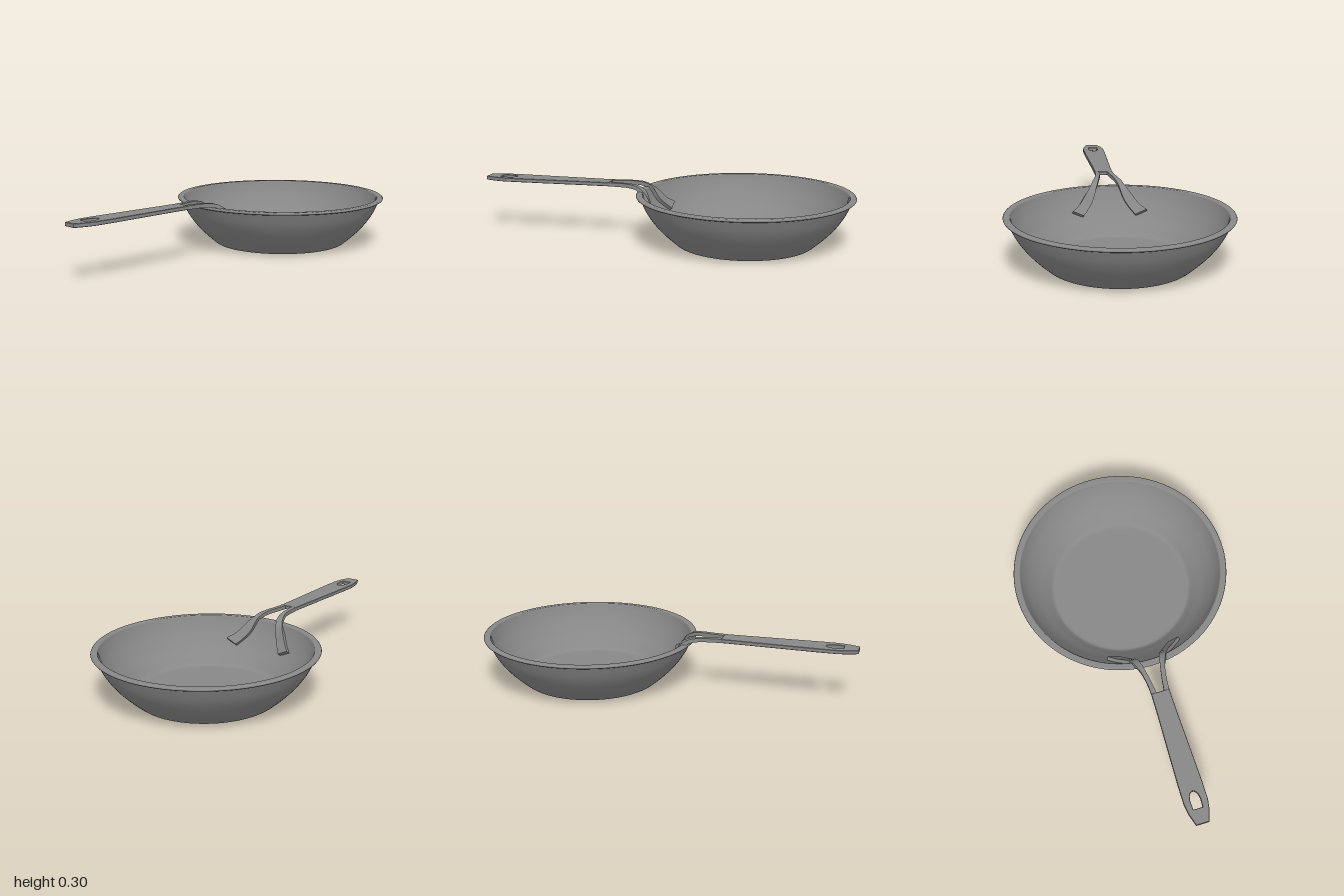
import * as THREE from 'three';
import { toCreasedNormals } from 'three/addons/utils/BufferGeometryUtils.js';

const material = new THREE.MeshStandardMaterial({ color: 0x888888 });
const BOWL_Z = -0.43;
const INNER = [[0.534, 0.255], [0.525, 0.229], [0.503, 0.182], [0.46, 0.118], [0.415, 0.067], [0.388, 0.037], [0.374, 0.027], [0.355, 0.025]];

// Revolved band; a smooth one is resampled along a spline
function band(name, points, smooth = false) {
  let pts = points.map(([r, y]) => new THREE.Vector2(r, y));
  if (smooth) pts = new THREE.SplineCurve(pts).getPoints(32);
  return part(name, new THREE.LatheGeometry(pts, 96));
}

function part(name, geometry) {
  const mesh = new THREE.Mesh(geometry, material);
  mesh.name = name;
  return mesh;
}

function bowl() {
  const group = new THREE.Group();
  group.name = 'bowl';
  group.position.z = BOWL_Z;
  group.add(
    band('underside', [[0, 0], [0.345, 0]]),
    band('outerWall', [[0.345, 0], [0.366, 0.01], [0.428, 0.065], [0.477, 0.118], [0.518, 0.178], [0.55, 0.248]], true),
    band('rim', [[0.55, 0.248], [0.564, 0.248], [0.568, 0.251], [0.57, 0.255], [0.568, 0.259], [0.564, 0.262],
      [0.561, 0.262], [0.543, 0.262], [0.539, 0.262], [0.536, 0.26], [0.534, 0.255]]),
    band('innerWall', INNER, true),
    band('cookingSurface', [[0.355, 0.025], [0, 0.025]])
  );
  return group;
}

// Flat grip with a hanging hole
function grip() {
  const half = [[0.046, 0.3], [0.048, 0.42], [0.054, 0.62], [0.059, 0.8], [0.059, 0.89], [0.051, 0.94], [0.032, 0.998]];
  const outline = [...half, ...half.map(([x, z]) => [-x, z]).reverse()];
  const shape = new THREE.Shape(outline.map(([x, z]) => new THREE.Vector2(x, z)));
  const hole = new THREE.Path();
  hole.moveTo(-0.026, 0.925);
  hole.lineTo(0.026, 0.925);
  hole.lineTo(0.028, 0.88);
  hole.bezierCurveTo(0.024, 0.816, -0.024, 0.816, -0.028, 0.88);
  shape.holes.push(hole);
  const geo = new THREE.ExtrudeGeometry(shape, {
    depth: 0.016, bevelThickness: 0.002, bevelSize: 0.002, bevelSegments: 1, curveSegments: 12
  });
  geo.rotateX(Math.PI / 2).translate(0, 0.293, 0);
  return part('grip', geo);
}

// Height of the inner wall at a radius
function wallHeight(r) {
  for (let i = 1; i < INNER.length; i++) {
    const [r0, y0] = INNER[i - 1], [r1, y1] = INNER[i];
    if (r >= r1) return y1 + (y0 - y1) * (Math.min(r, r0) - r1) / (r0 - r1);
  }
  return 0.025;
}

// Fork arm: inner edge x, z, outer edge x, z, underside height (null = lies on the wall), lean of the section
const ARM = [
  [0.02, 0.299, 0.048, 0.299, 0.275, 0],
  [0.026, 0.25, 0.051, 0.25, 0.275, 0],
  [0.039, 0.175, 0.063, 0.18, 0.274, 0.1],
  [0.05, 0.128, 0.08, 0.135, 0.266, 0.3],
  [0.061, 0.1, 0.095, 0.108, 0.25, 0.55],
  [0.085, 0.071, 0.122, 0.08, null, 0.8],
  [0.112, 0.041, 0.161, 0.044, null, 0.8],
  [0.142, 0.01, 0.202, 0.006, null, 0.76]
];

function arm(side) {
  const corner = ([xi, zi, xo, zo, y, lean], outer, top) => {
    const x = outer ? xo : xi, z = outer ? zo : zi;
    const r = Math.hypot(x, z - BOWL_Z);
    const p = new THREE.Vector3(x, y ?? wallHeight(r) - 0.003, z);
    if (top) {
      p.addScaledVector(
        new THREE.Vector3(-lean * x / r, Math.sqrt(1 - lean * lean), -lean * (z - BOWL_Z) / r), 0.02);
    }
    p.x *= side;
    return p;
  };
  const steps = 32;
  const rails = [[0, 0], [1, 0], [1, 1], [0, 1]].map(([outer, top]) =>
    new THREE.CatmullRomCurve3(ARM.map((s) => corner(s, outer, top))).getPoints(steps));
  const positions = [], index = [];
  const quad = (a, b, c, d) => index.push(...(side > 0 ? [a, c, b, a, d, c] : [a, b, c, a, c, d]));
  for (let i = 0; i <= steps; i++) for (const rail of rails) positions.push(...rail[i].toArray());
  for (let i = 0; i < steps; i++) {
    for (let k = 0; k < 4; k++) {
      const a = i * 4 + k, b = i * 4 + (k + 1) % 4;
      quad(a, b, b + 4, a + 4);
    }
  }
  // End caps
  quad(3, 2, 1, 0);
  const e = steps * 4;
  quad(e, e + 1, e + 2, e + 3);
  const geo = new THREE.BufferGeometry();
  geo.setAttribute('position', new THREE.Float32BufferAttribute(positions, 3));
  geo.setIndex(index);
  return part(side > 0 ? 'leftArm' : 'rightArm', toCreasedNormals(geo, 0.6));
}

export function createModel() {
  const model = new THREE.Group();
  model.name = 'fryingPan';
  const handle = new THREE.Group();
  handle.name = 'handle';
  handle.add(grip(), arm(1), arm(-1));
  model.add(bowl(), handle);
  return model;
}
